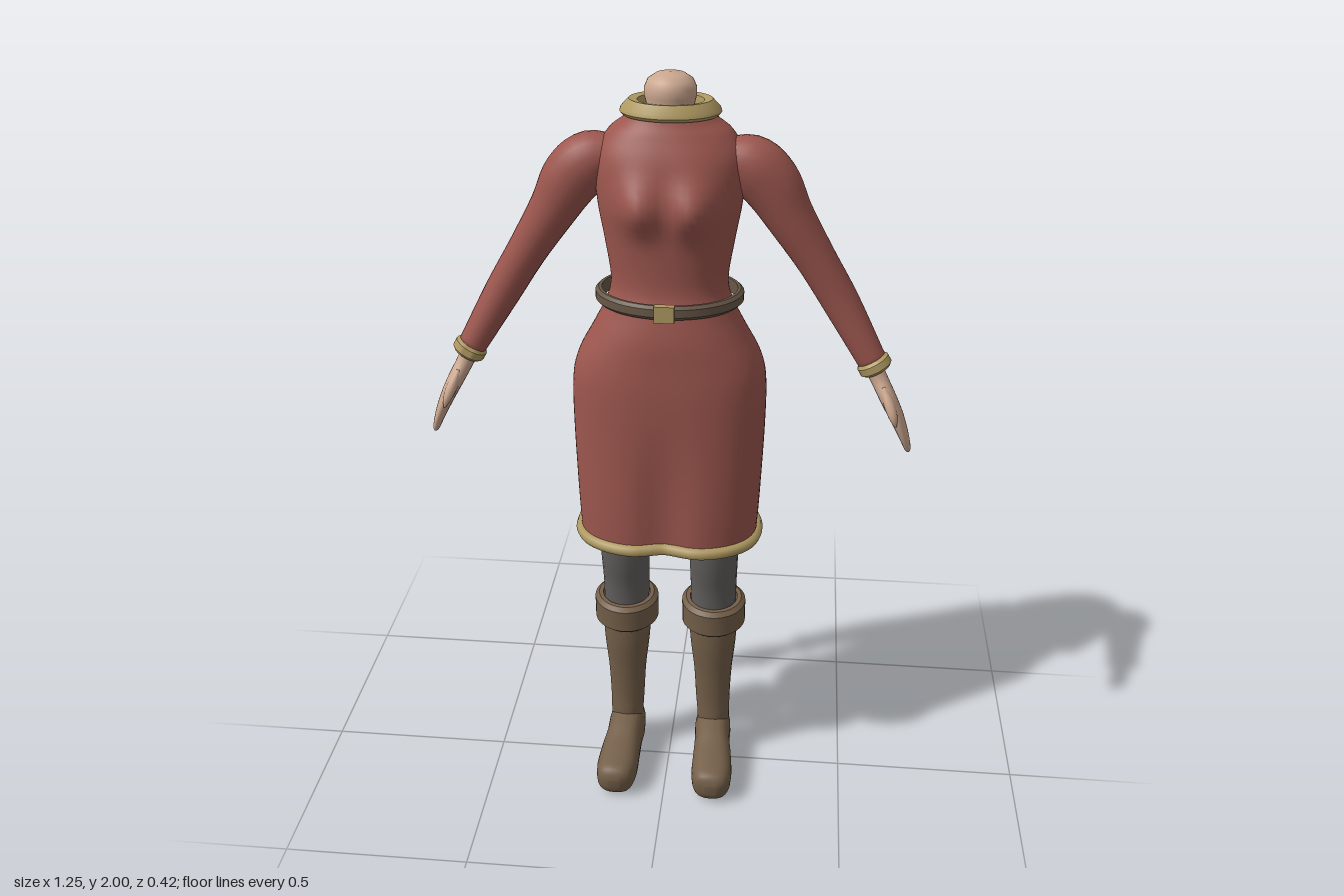
import * as THREE from 'three';
import { toCreasedNormals } from 'three/addons/utils/BufferGeometryUtils.js';

const mat = (name, color, side = THREE.FrontSide) => {
  const m = new THREE.MeshStandardMaterial({ color, side });
  m.name = name;
  return m;
};

// Catmull-Rom resampling of rows of numbers, n steps per span
function resample(rows, n) {
  const out = [];
  const at = i => rows[Math.min(Math.max(i, 0), rows.length - 1)];
  for (let i = 0; i < rows.length - 1; i++) {
    for (let k = 0; k < n; k++) {
      const t = k / n;
      out.push(rows[i].map((p1, c) => {
        const p0 = at(i - 1)[c], p2 = at(i + 1)[c], p3 = at(i + 2)[c];
        return p1 + 0.5 * t * (p2 - p0 + t * (2 * p0 - 5 * p1 + 4 * p2 - p3 + t * (3 * (p1 - p2) + p3 - p0)));
      }));
    }
  }
  out.push(rows[rows.length - 1]);
  return out;
}

// Skin over rings of points, with optional end caps
function skin(rings, caps) {
  const n = rings[0].length, pos = [], idx = [];
  rings.forEach(r => r.forEach(p => pos.push(p.x, p.y, p.z)));
  for (let j = 0; j < rings.length - 1; j++) {
    for (let i = 0; i < n; i++) {
      const a = j * n + i, b = j * n + (i + 1) % n;
      idx.push(a, b, a + n, b, b + n, a + n);
    }
  }
  if (caps) [0, rings.length - 1].forEach(j => {
    const c = new THREE.Vector3();
    rings[j].forEach(p => c.addScaledVector(p, 1 / n));
    const k = pos.length / 3;
    pos.push(c.x, c.y, c.z);
    for (let i = 0; i < n; i++) {
      const a = j * n + i, b = j * n + (i + 1) % n;
      if (j) idx.push(a, b, k); else idx.push(b, a, k);
    }
  });
  const g = new THREE.BufferGeometry();
  g.setAttribute('position', new THREE.Float32BufferAttribute(pos, 3));
  g.setIndex(idx);
  g.computeVertexNormals();
  return g;
}

const power = (v, e) => Math.sign(v) * Math.pow(Math.abs(v), 2 / e);

// Limb from rows [x, y, z, half-width, half-depth]; depth is measured along "up"
function limb(rows, { up = new THREE.Vector3(0, 0, 1), e = 2, n = 24, steps = 5 } = {}) {
  const r = resample(rows, steps);
  const c = r.map(q => new THREE.Vector3(q[0], q[1], q[2]));
  return skin(r.map((q, j) => {
    const t = c[Math.min(j + 1, c.length - 1)].clone().sub(c[Math.max(j - 1, 0)]).normalize();
    const A = up.clone().cross(t).normalize(), B = t.clone().cross(A);
    return Array.from({ length: n }, (_, i) => {
      const w = i / n * Math.PI * 2;
      return c[j].clone().addScaledVector(A, q[3] * power(Math.cos(w), e))
        .addScaledVector(B, q[4] * power(Math.sin(w), e));
    });
  }), true);
}

const lathe = (pts, n = 40) => toCreasedNormals(
  new THREE.LatheGeometry(pts.map(p => new THREE.Vector2(p[0], p[1])), n), 0.7);

// Closed band with slightly bevelled outer edges, centred on y = 0
function band(inner, outer, h, n) {
  const b = Math.min(0.25 * h, 0.5 * (outer - inner));
  return lathe([[inner, -h / 2], [outer - b, -h / 2], [outer, b - h / 2],
    [outer, h / 2 - b], [outer - b, h / 2], [inner, h / 2], [inner, -h / 2]], n);
}

// Dress cross-section: side radius, front and back depth, shaped by bust, hips and folds
const bump = (v, c, s) => Math.exp(-(((v - c) / s) ** 2));
function dressRing([y, rx, front, back], n = 72) {
  const zc = (front + back) / 2, rz = (front - back) / 2;
  const skirt = THREE.MathUtils.smoothstep(y, 1.2, 1.45);
  const e = 2.5 - 0.3 * skirt;
  const fold = 1 - THREE.MathUtils.smoothstep(y, 0.85, 1.25);
  return Array.from({ length: n }, (_, i) => {
    const w = i / n * Math.PI * 2, s = Math.sin(w);
    const x = -rx * power(Math.cos(w), e), ax = Math.abs(x);
    let z = zc + rz * power(s, e);
    if (s > 0) {
      z += s * 0.042 * bump(ax, 0.07, 0.055) * bump(y, 1.705, 0.06);
      z -= s * 0.025 * fold * bump(x, 0, 0.06);
    } else {
      z += s * 0.042 * bump(ax, 0.105, 0.085) * bump(y, 1.225, 0.11);
      z -= s * (0.03 * fold * bump(x, 0, 0.05) + 0.008 * skirt * bump(x, 0, 0.04));
    }
    return new THREE.Vector3(x, y, z);
  });
}

export function createModel() {
  const model = new THREE.Group();
  model.name = 'dressedFigure';
  const red = mat('red cloth', 0x9c564e, THREE.DoubleSide);
  const gold = mat('gold trim', 0xb09a62);
  const skinTone = mat('skin', 0xcba78f);
  const grey = mat('grey stocking', 0x63605f);
  const leather = mat('boot leather', 0x745f49);
  const beltTone = mat('belt leather', 0x685848);
  const add = (name, geo, m, parent = model) => {
    const mesh = new THREE.Mesh(geo, m);
    mesh.name = name;
    parent.add(mesh);
    return mesh;
  };

  // Dress, hem to neckline
  const dressRows = [
    [0.785, 0.236, 0.142, -0.173], [0.9, 0.242, 0.142, -0.175], [1.1, 0.249, 0.136, -0.177],
    [1.23, 0.248, 0.132, -0.17], [1.3, 0.232, 0.128, -0.163], [1.37, 0.195, 0.123, -0.155],
    [1.44, 0.16, 0.108, -0.14], [1.5, 0.146, 0.093, -0.132], [1.6, 0.16, 0.096, -0.142],
    [1.7, 0.177, 0.098, -0.148], [1.8, 0.182, 0.083, -0.146], [1.86, 0.152, 0.058, -0.136],
    [1.89, 0.115, 0.043, -0.125], [1.915, 0.09, 0.033, -0.11]];
  add('dress', skin(resample(dressRows, 5).map(r => dressRing(r)), false), red);

  // Hem trim follows the skirt edge
  const hemPath = new THREE.CatmullRomCurve3(dressRing([0.787, 0.236, 0.142, -0.173], 48), true);
  add('hemTrim', new THREE.TubeGeometry(hemPath, 120, 0.0165, 8, true), gold);

  // Collar and neck
  const collar = add('collar', lathe([[0.075, 1.9], [0.115, 1.9], [0.122, 1.908], [0.119, 1.917],
    [0.1, 1.937], [0.08, 1.934], [0.075, 1.9]]), gold);
  collar.scale.z = 0.76;
  collar.position.z = -0.04;
  const neck = add('neck', new THREE.LatheGeometry([[0.055, 1.86], [0.056, 1.92], [0.062, 1.945],
    [0.062, 1.965], [0.054, 1.983], [0.034, 1.996], [0, 2]].map(p => new THREE.Vector2(...p)), 32), skinTone);
  neck.position.z = -0.035;

  // Loose belt with buckle
  const belt = add('belt', band(0.17, 0.186, 0.036, 56), beltTone);
  belt.scale.z = 0.77;
  belt.position.set(0, 1.457, -0.018);
  add('buckle', new THREE.BoxGeometry(0.05, 0.042, 0.018), gold).position.set(0, 1.456, 0.122);

  for (const s of [1, -1]) {
    const side = s > 0 ? 'left' : 'right';
    const flip = rows => rows.map(([x, ...rest]) => [s * x, ...rest]);

    // Arm
    const arm = new THREE.Group();
    arm.name = side + 'Arm';
    model.add(arm);
    add('sleeve', limb(flip([
      [0.1, 1.8, -0.035, 0.035, 0.04], [0.185, 1.79, -0.032, 0.068, 0.063],
      [0.24, 1.742, -0.033, 0.073, 0.064], [0.29, 1.66, -0.035, 0.06, 0.058],
      [0.36, 1.55, -0.038, 0.05, 0.05], [0.43, 1.435, -0.038, 0.046, 0.046],
      [0.518, 1.285, -0.018, 0.036, 0.036]])), red, arm);
    const cuff = add('cuff', band(0.028, 0.043, 0.034, 28), gold, arm);
    cuff.position.set(s * 0.519, 1.284, -0.017);
    cuff.quaternion.setFromUnitVectors(new THREE.Vector3(0, 1, 0),
      new THREE.Vector3(s * -0.5, 0.86, -0.08).normalize());

    // Hand and thumb
    add('hand', limb(flip([
      [0.505, 1.305, -0.015, 0.024, 0.024], [0.533, 1.25, -0.008, 0.022, 0.025],
      [0.56, 1.2, 0.005, 0.021, 0.038], [0.585, 1.15, 0.008, 0.018, 0.042],
      [0.606, 1.1, 0.01, 0.013, 0.033], [0.618, 1.065, 0.011, 0.008, 0.017],
      [0.621, 1.056, 0.011, 0.002, 0.004]])), skinTone, arm);
    add('thumb', limb(flip([
      [0.545, 1.235, 0.015, 0.008, 0.012], [0.56, 1.2, 0.035, 0.014, 0.016],
      [0.572, 1.17, 0.05, 0.011, 0.012], [0.58, 1.145, 0.053, 0.003, 0.004]]),
      { n: 14 }), skinTone, arm);

    // Leg
    const leg = new THREE.Group();
    leg.name = side + 'Leg';
    model.add(leg);
    add('stocking', limb(flip([
      [0.123, 0.48, -0.035, 0.062, 0.058], [0.122, 0.6, -0.029, 0.064, 0.064],
      [0.122, 0.7, -0.012, 0.067, 0.068], [0.122, 0.8, -0.003, 0.07, 0.071],
      [0.122, 0.95, 0, 0.075, 0.078]])), grey, leg);

    // Boot
    add('bootShaft', limb(flip([
      [0.128, 0.06, -0.045, 0.045, 0.045], [0.127, 0.14, -0.043, 0.047, 0.046],
      [0.125, 0.2, -0.038, 0.049, 0.041], [0.124, 0.3, -0.035, 0.054, 0.046],
      [0.123, 0.4, -0.033, 0.064, 0.056], [0.122, 0.5, -0.036, 0.07, 0.064]])), leather, leg);
    add('foot', limb(flip([
      [0.126, 0.06, -0.1, 0.016, 0.02], [0.126, 0.063, -0.085, 0.043, 0.057],
      [0.127, 0.07, -0.04, 0.052, 0.07], [0.129, 0.068, 0.02, 0.051, 0.066],
      [0.133, 0.06, 0.08, 0.055, 0.058], [0.136, 0.053, 0.15, 0.057, 0.052],
      [0.138, 0.049, 0.195, 0.046, 0.045], [0.138, 0.047, 0.212, 0.016, 0.018]]),
      { up: new THREE.Vector3(0, 1, 0), e: 2.6 }), leather, leg);
    const bootCuff = add('bootCuff', band(0.066, 0.089, 0.088, 36), leather, leg);
    bootCuff.position.set(s * 0.123, 0.504, -0.037);
    bootCuff.rotation.x = 0.07;
  }
  return model;
}
